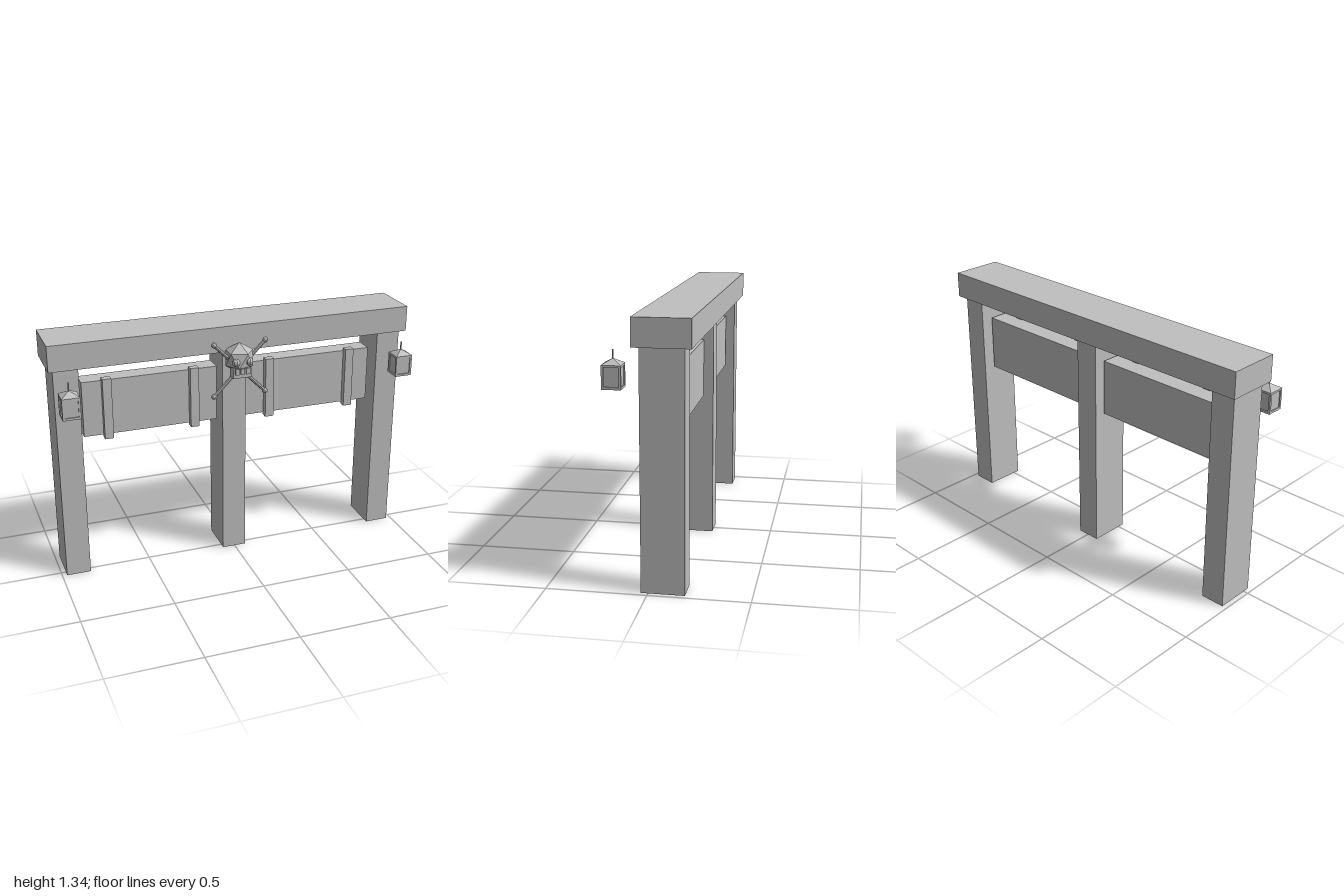
import * as THREE from 'three';

export function createModel() {
  const model = new THREE.Group();
  model.name = 'gatewaySign';
  const grey = new THREE.MeshStandardMaterial({ color: 0xbfbfbf, flatShading: true });
  grey.name = 'plain grey';

  function add(parent, name, geometry, x = 0, y = 0, z = 0) {
    const mesh = new THREE.Mesh(geometry, grey);
    mesh.name = name;
    mesh.position.set(x, y, z);
    parent.add(mesh);
    return mesh;
  }
  // Box given by its lowest and highest corners
  function block(parent, name, [x0, y0, z0], [x1, y1, z1]) {
    return add(parent, name, new THREE.BoxGeometry(x1 - x0, y1 - y0, z1 - z0),
      (x0 + x1) / 2, (y0 + y1) / 2, (z0 + z1) / 2);
  }

  // Frame
  block(model, 'topBeam', [-1, 1.195, -0.215], [1, 1.335, 0.067]);
  for (const x of [-0.908, -0.003, 0.908]) {
    block(model, 'post', [x - 0.066, 0, -0.18], [x + 0.066, 1.195, 0.035]);
  }

  // Hanging boards with upright battens
  for (const s of [-1, 1]) {
    const cx = s * 0.451;
    block(model, 'board', [cx - 0.369, 0.78, -0.13], [cx + 0.369, 1.086, -0.028]);
    for (const x of [s * 0.215, s * 0.691]) {
      block(model, 'batten', [x - 0.024, 0.765, -0.033], [x + 0.024, 1.102, 0.005]);
    }
  }

  // Lanterns: plates, corner bars, recessed glass, pyramid roof and hanger
  for (const s of [-1, 1]) {
    const lantern = new THREE.Group();
    lantern.name = 'lantern';
    lantern.position.set(s * 0.921, 0.988, 0.167);
    model.add(lantern);
    const h = 0.047;
    block(lantern, 'lanternBase', [-h, 0, -h], [h, 0.012, h]);
    block(lantern, 'lanternTop', [-h, 0.104, -h], [h, 0.115, h]);
    block(lantern, 'lanternGlass', [-0.041, 0.012, -0.041], [0.041, 0.104, 0.041]);
    for (const i of [-1, 1]) for (const k of [-1, 1]) {
      add(lantern, 'lanternBar', new THREE.BoxGeometry(0.011, 0.092, 0.011),
        i * 0.0415, 0.058, k * 0.0415);
    }
    const roof = new THREE.CylinderGeometry(0.008, h * Math.SQRT2, 0.024, 4);
    roof.rotateY(Math.PI / 4);
    add(lantern, 'lanternRoof', roof, 0, 0.127, 0);
    add(lantern, 'lanternHanger', new THREE.CylinderGeometry(0.004, 0.004, 0.05, 6), 0, 0.158, 0);
  }

  // Skull emblem
  const skull = new THREE.Group();
  skull.name = 'skullEmblem';
  model.add(skull);
  const head = new THREE.IcosahedronGeometry(0.085, 0);
  head.rotateX(-Math.atan((1 + Math.sqrt(5)) / 2)); // one corner straight up
  head.rotateY(Math.PI / 2);
  add(skull, 'cranium', head, 0, 1.17, 0.104);
  block(skull, 'jaw', [-0.05, 1.073, 0.1], [0.05, 1.125, 0.155]);
  for (const x of [-0.03, 0, 0.03]) {
    block(skull, 'tooth', [x - 0.011, 1.095, 0.15], [x + 0.011, 1.128, 0.166]);
  }
  for (const x of [-0.036, 0.036]) {
    add(skull, 'eye', new THREE.SphereGeometry(0.022, 8, 6), x, 1.163, 0.16);
  }

  // Crossed bones with knobbed ends
  for (const s of [-1, 1]) {
    const bone = new THREE.Group();
    bone.name = 'crossedBone';
    bone.position.set(0, 1.113, 0.113);
    bone.rotation.z = s * Math.PI / 4;
    skull.add(bone);
    add(bone, 'boneShaft', new THREE.CylinderGeometry(0.01, 0.01, 0.4, 8));
    for (const y of [-0.202, 0.202]) {
      add(bone, 'boneKnob', new THREE.SphereGeometry(0.016, 8, 6), 0, y, 0);
    }
  }
  return model;
}
